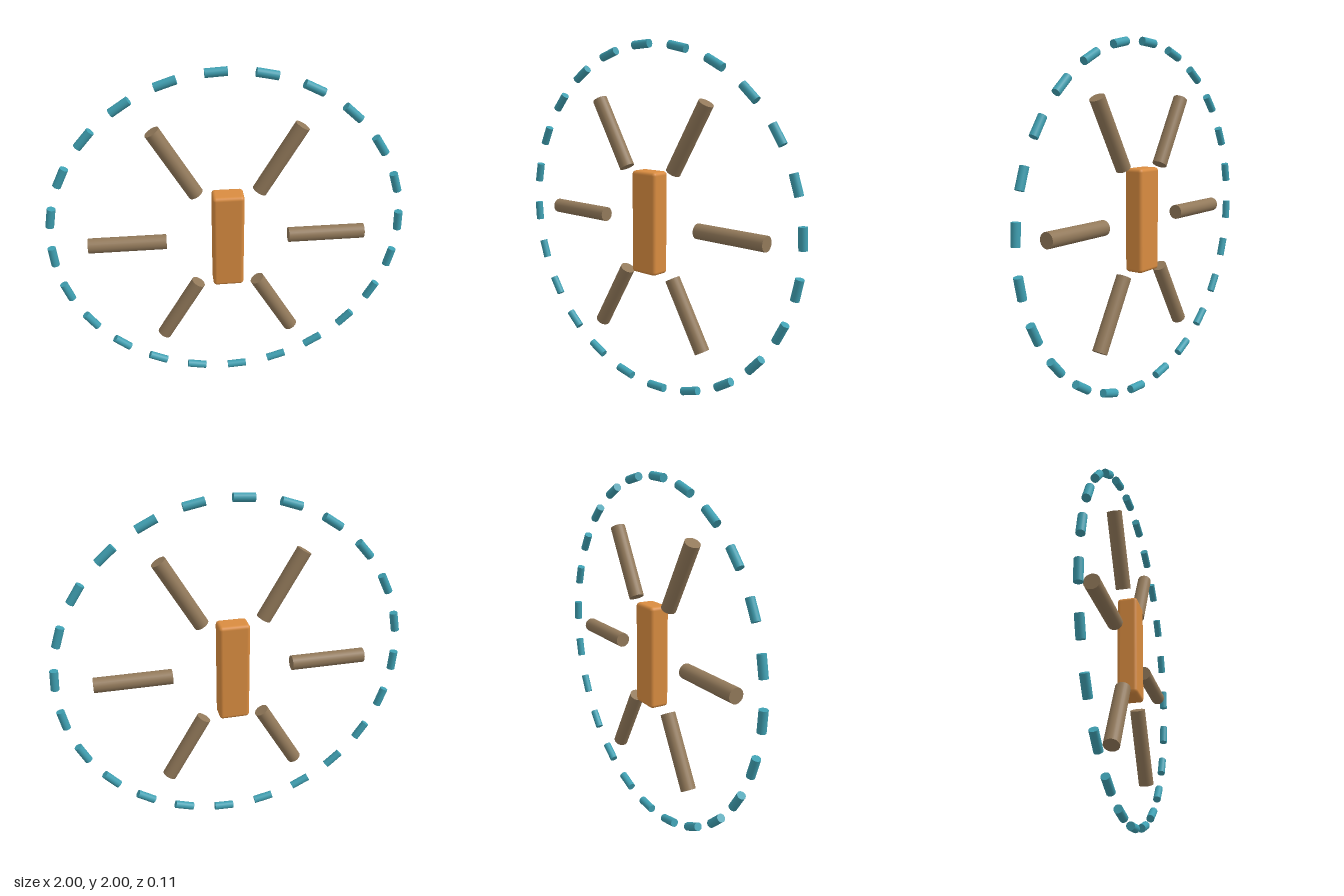
import * as THREE from 'three';
import { RoundedBoxGeometry } from 'three/addons/geometries/RoundedBoxGeometry.js';

const CENTRE_Y = 1.003;

export function createModel() {
  const model = new THREE.Group();
  model.name = 'spokedRing';
  const orange = new THREE.MeshStandardMaterial({ color: 0xd98c40 });
  const brown = new THREE.MeshStandardMaterial({ color: 0x92795a });
  const teal = new THREE.MeshStandardMaterial({ color: 0x3fa0b2 });

  // Rods evenly spaced on a circle; turn is the rod's rotation relative to its angle
  function ring(name, count, offset, ringRadius, geometry, material, turn) {
    const group = new THREE.Group();
    group.name = name + 's';
    group.position.y = CENTRE_Y;
    for (let i = 0; i < count; i++) {
      const a = offset + (i / count) * Math.PI * 2;
      const rod = new THREE.Mesh(geometry, material);
      rod.name = name;
      rod.position.set(Math.cos(a) * ringRadius, Math.sin(a) * ringRadius, 0);
      rod.rotation.z = a + turn;
      group.add(rod);
    }
    model.add(group);
  }

  // Upright central block with softened edges
  const block = new THREE.Mesh(new RoundedBoxGeometry(0.174, 0.583, 0.114, 3, 0.02), orange);
  block.name = 'centralBlock';
  block.position.y = CENTRE_Y;
  model.add(block);

  // Six radial spokes (cylinder axis along the radius)
  ring('spoke', 6, 0, 0.56, new THREE.CylinderGeometry(0.042, 0.042, 0.432, 24), brown, -Math.PI / 2);

  // Outer ring of 24 short rods lying along the circle
  ring('rimRod', 24, THREE.MathUtils.degToRad(3.4), 0.975,
    new THREE.CylinderGeometry(0.023, 0.023, 0.114, 20), teal, 0);

  return model;
}
